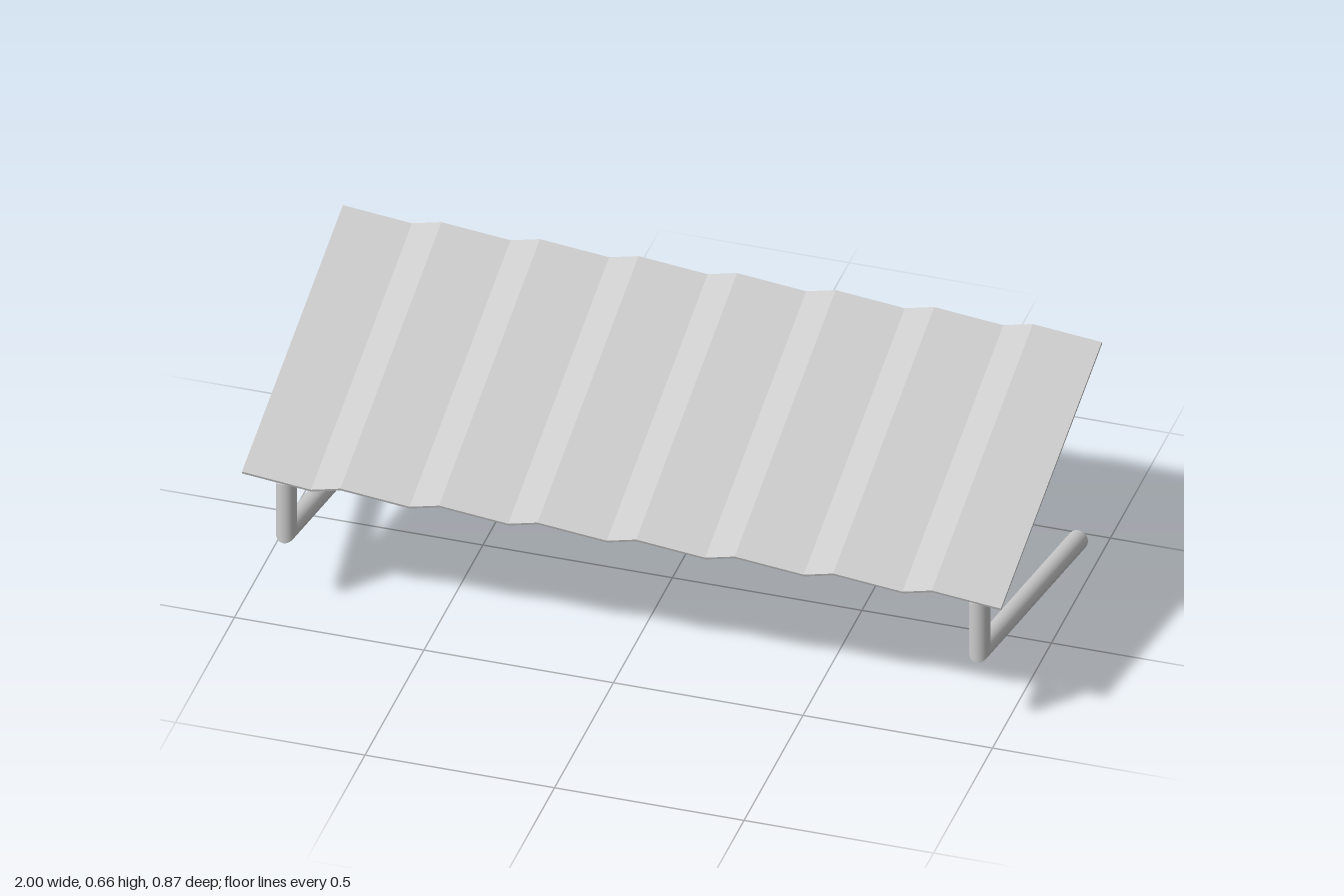
import * as THREE from 'three';

const mat = new THREE.MeshStandardMaterial({ color: 0xcccccc, side: THREE.DoubleSide });

// Zigzag strip extruded along the slope
function corrugatedSheet() {
  const height = 0.025, thickness = 0.007, length = 0.896, pitch = 0.26, rise = 0.08;
  const line = [];
  for (let i = 0; i < 8; i++) {
    const x = -1 + i * pitch;
    line.push([x, height], [x + pitch - rise, 0]);
  }
  const outline = [
    ...line.map(([x, y]) => new THREE.Vector2(x, y)),
    ...line.reverse().map(([x, y]) => new THREE.Vector2(x, y + thickness)),
  ];
  const geo = new THREE.ExtrudeGeometry(new THREE.Shape(outline), { depth: length, bevelEnabled: false });
  geo.translate(0, 0, -length);
  const mesh = new THREE.Mesh(geo, mat);
  mesh.rotation.x = Math.atan2(0.262, 0.857);
  mesh.position.set(0, 0.37, 0.427);
  mesh.name = 'corrugatedSheet';
  return mesh;
}

// Round bar following [z, y] points, mitred at the corners
function bentPipe(x, name) {
  const radius = 0.0268;
  const path = [[-0.429, 0.026], [0.403, 0.222], [0.403, 0.358], [-0.428, 0.603]];
  const parts = ['lowerLeg', 'upright', 'sheetSupport'];
  const angles = parts.map((_, i) => Math.atan2(path[i + 1][0] - path[i][0], path[i + 1][1] - path[i][1]));
  const group = new THREE.Group();
  group.name = name;
  parts.forEach((part, i) => {
    const [z0, y0] = path[i], [z1, y1] = path[i + 1];
    const length = Math.hypot(z1 - z0, y1 - y0);
    const geo = new THREE.CylinderGeometry(radius, radius, length, 32);
    geo.translate(0, length / 2, 0);
    // Shear each joined end onto its mitre plane
    const startK = i > 0 ? Math.tan((angles[i] - angles[i - 1]) / 2) : 0;
    const endK = i < 2 ? -Math.tan((angles[i + 1] - angles[i]) / 2) : 0;
    const pos = geo.attributes.position;
    for (let v = 0; v < pos.count; v++) {
      const k = pos.getY(v) > length / 2 ? endK : startK;
      pos.setY(v, pos.getY(v) + k * pos.getZ(v));
    }
    const mesh = new THREE.Mesh(geo, mat);
    mesh.rotation.x = angles[i];
    mesh.position.set(x, y0, z0);
    mesh.name = part;
    group.add(mesh);
  });
  return group;
}

export function createModel() {
  const model = new THREE.Group();
  model.name = 'corrugatedShelf';
  model.add(corrugatedSheet(), bentPipe(-0.893, 'rightFrame'), bentPipe(0.936, 'leftFrame'));
  return model;
}
